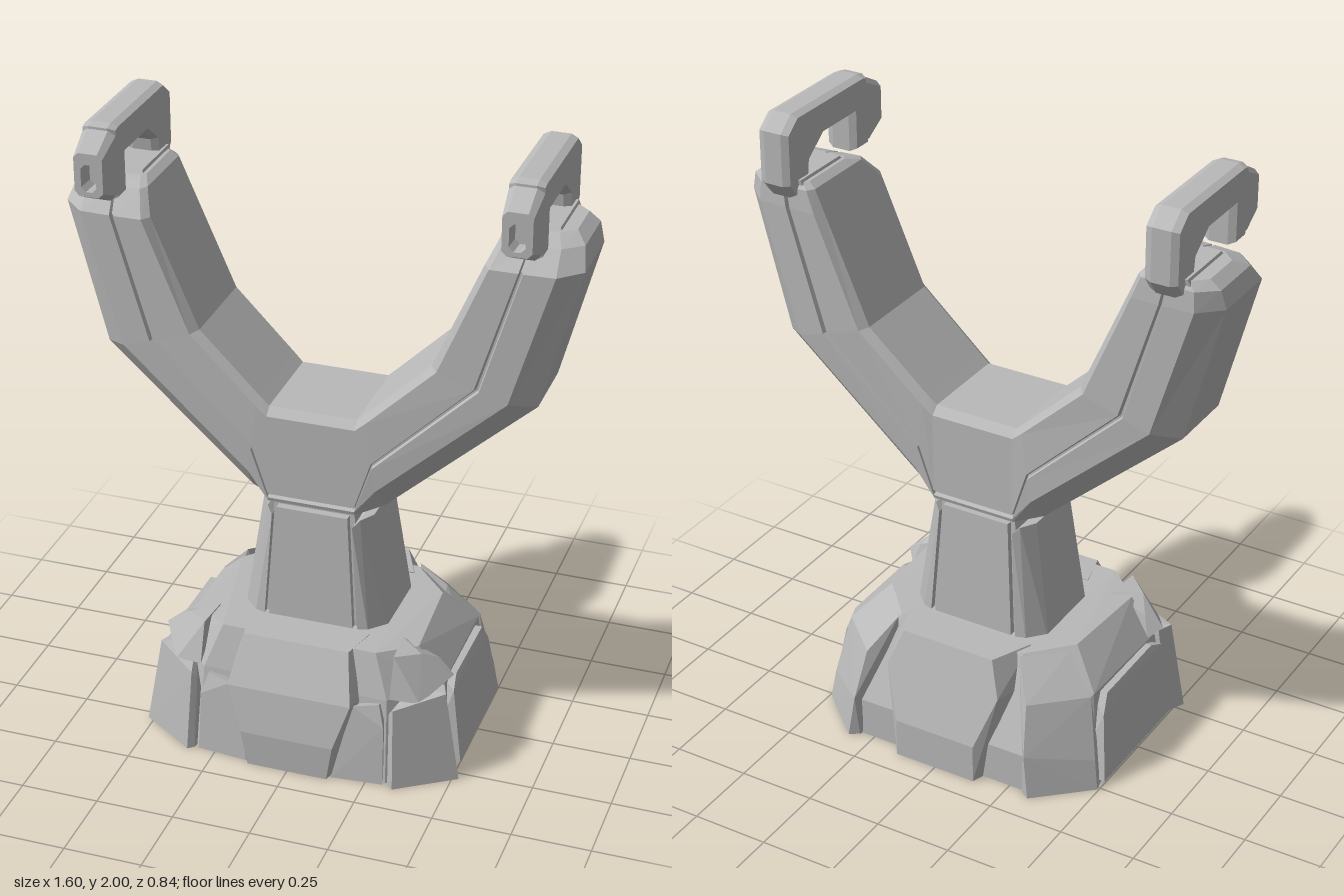
import * as THREE from 'three';
import { ConvexGeometry } from 'three/addons/geometries/ConvexGeometry.js';

const grey = new THREE.MeshStandardMaterial({ color: 0xb9b9b9 });
grey.name = 'stoneGrey';

function add(parent, name, geometry) {
  const mesh = new THREE.Mesh(geometry, grey);
  mesh.name = name;
  parent.add(mesh);
  return mesh;
}

const V = (p) => new THREE.Vector3(...p);

// Faceted convex block from its corners, with optional mirroring in x
function block(points, mirror = false) {
  const all = mirror ? points.flatMap(([x, y, z]) => [[x, y, z], [-x, y, z]]) : points;
  return new ConvexGeometry(all.map(V));
}

// A left block and its mirrored twin
function pair(parent, name, points) {
  add(parent, name + 'Left', block(points));
  add(parent, name + 'Right', block(points.map(([x, y, z]) => [-x, y, z])));
}

// Flat-faced skin through equal-length rings, capped at both ends, facing outwards
function loft(rings) {
  const tris = [];
  const n = rings[0].length;
  for (let i = 0; i < rings.length - 1; i++) {
    for (let j = 0; j < n; j++) {
      const k = (j + 1) % n;
      const [a, b, c, d] = [rings[i][j], rings[i][k], rings[i + 1][k], rings[i + 1][j]];
      tris.push([a, b, c], [a, c, d]);
    }
  }
  const cap = (ring, flip) => {
    const mid = [0, 1, 2].map((q) => ring.reduce((s, p) => s + p[q], 0) / n);
    ring.forEach((p, j) => {
      const next = ring[(j + 1) % n];
      tris.push(flip ? [mid, next, p] : [mid, p, next]);
    });
  };
  cap(rings[0], true);
  cap(rings[rings.length - 1], false);
  const volume = tris.reduce((s, [a, b, c]) => s + V(a).dot(V(b).cross(V(c))), 0);
  const ordered = volume < 0 ? tris.map(([a, b, c]) => [a, c, b]) : tris;
  const g = new THREE.BufferGeometry();
  g.setAttribute('position', new THREE.Float32BufferAttribute(ordered.flat(2), 3));
  g.computeVertexNormals();
  return g;
}

function makeBase() {
  const base = new THREE.Group();
  base.name = 'base';
  add(base, 'baseCore', block([
    [0.31, 0, 0.375], [0.47, 0, 0.24], [0.47, 0, -0.23], [0.3, 0, -0.38],
    [0.3, 0.13, -0.38], [0.3, 0.28, 0.335], [0.445, 0.3, 0.2], [0.44, 0.3, -0.19],
    [0.25, 0.42, 0.295], [0.36, 0.41, 0.2], [0.34, 0.41, -0.12], [0.22, 0.41, -0.25],
  ], true));
  add(base, 'frontPanel', block([
    [0.13, 0, 0.415], [0.15, 0.12, 0.42], [0.2, 0.27, 0.395], [0.17, 0.42, 0.32],
    [0.16, 0, 0.3], [0.22, 0.26, 0.3], [0.2, 0.42, 0.2],
  ], true));
  add(base, 'backPanel', block([
    [0.14, 0, -0.42], [0.14, 0.13, -0.42], [0.2, 0.3, -0.37], [0.16, 0.415, -0.335],
    [0.18, 0, -0.3], [0.22, 0.3, -0.3], [0.22, 0.415, -0.2],
  ], true));
  // Corner stones and side slabs
  pair(base, 'frontCorner', [
    [0.32, 0, 0.385], [0.34, 0, 0.4], [0.52, 0, 0.28], [0.49, 0, 0.22],
    [0.315, 0.25, 0.36], [0.33, 0.27, 0.37], [0.47, 0.3, 0.27], [0.45, 0.3, 0.22],
    [0.3, 0, 0.25], [0.36, 0.3, 0.25],
  ]);
  pair(base, 'frontShoulder', [
    [0.31, 0.29, 0.34], [0.4, 0.28, 0.32], [0.475, 0.33, 0.2], [0.44, 0.3, 0.16],
    [0.31, 0.42, 0.3], [0.38, 0.41, 0.24], [0.42, 0.37, 0.18], [0.3, 0.42, 0.18],
  ]);
  pair(base, 'frontCheek', [
    [0.14, 0, 0.4], [0.305, 0, 0.385], [0.3, 0.2, 0.37], [0.2, 0.26, 0.37],
    [0.28, 0.27, 0.35], [0.14, 0, 0.3], [0.28, 0.25, 0.25],
  ]);
  pair(base, 'sideSlab', [
    [0.505, 0.015, 0.21], [0.505, 0.015, -0.23], [0.495, 0.07, -0.22], [0.475, 0.27, 0.2],
    [0.465, 0.295, 0.14], [0.465, 0.29, -0.15], [0.475, 0.23, -0.19],
    [0.4, 0.015, 0.21], [0.4, 0.015, -0.23], [0.4, 0.295, 0.14], [0.4, 0.29, -0.15],
  ]);
  pair(base, 'backCorner', [
    [0.3, 0, -0.39], [0.33, 0, -0.41], [0.495, 0, -0.26], [0.48, 0, -0.2],
    [0.31, 0.14, -0.4], [0.48, 0.1, -0.25], [0.29, 0.3, -0.35], [0.44, 0.3, -0.21],
    [0.22, 0.41, -0.27], [0.34, 0.41, -0.17], [0.25, 0, -0.25],
  ]);
  return base;
}

function makePillar() {
  const pillar = new THREE.Group();
  pillar.name = 'pillar';
  add(pillar, 'pillarCore', block([
    [0.16, 0.38, 0.165], [0.16, 0.38, -0.165], [0.13, 0.81, 0.145], [0.13, 0.81, -0.145],
  ], true));
  add(pillar, 'pillarMiddle', block([
    [0.14, 0.38, 0.185], [0.14, 0.38, -0.185], [0.115, 0.8, 0.17], [0.115, 0.8, -0.165],
  ], true));
  // Bevelled flank on each side
  pair(pillar, 'pillarFlank', [
    [0.155, 0.38, 0.185], [0.19, 0.38, 0.175], [0.24, 0.38, 0.12], [0.24, 0.38, -0.12],
    [0.19, 0.38, -0.175], [0.155, 0.38, -0.185], [0.13, 0.77, 0.17], [0.15, 0.79, 0.15],
    [0.18, 0.79, 0.1], [0.18, 0.79, -0.1], [0.15, 0.79, -0.15], [0.13, 0.77, -0.165],
  ]);
  return pillar;
}

// Y-shaped fork: one section swept from tip to tip, with a groove along both faces
function makeFork() {
  const stations = [
    // inner edge, outer edge, groove position, front z, back z
    { i: [0.14, 1.14], o: [0.14, 0.795], g: 0.86, f: 0.18, b: -0.18 },
    { i: [0.17, 1.168], o: [0.215, 0.835], g: 0.5, f: 0.18, b: -0.185 },
    { i: [0.365, 1.355], o: [0.68, 1.25], g: 0.46, f: 0.17, b: -0.2 },
    { i: [0.515, 1.7], o: [0.8, 1.7], g: 0.4, f: 0.165, b: -0.2 },
    { i: [0.545, 1.77], o: [0.785, 1.76], g: 0.4, f: 0.1, b: -0.195 },
    { i: [0.57, 1.787], o: [0.75, 1.787], g: 0.4, f: 0.04, b: -0.18 },
  ];
  const section = ({ i, o, g, f, b }, side) => {
    const outerFlat = Math.max(g + 0.06, 0.76);
    const half = [[0, 0.85], [0.07, 1], [g - 0.025, 1], [g - 0.01, 0.93], [g + 0.01, 0.93],
      [g + 0.025, 1], [outerFlat, 0.98], [1, 0.62]];
    const mid = (f + b) / 2;
    const depth = (f - b) / 2;
    const at = (t, s) => [side * (i[0] + (o[0] - i[0]) * t), i[1] + (o[1] - i[1]) * t, mid + depth * s];
    return [...half.map(([t, s]) => at(t, s)), ...half.slice().reverse().map(([t, s]) => at(t, -s))];
  };
  return loft([
    ...stations.slice().reverse().map((s) => section(s, -1)),
    ...stations.map((s) => section(s, 1)),
  ]);
}

// Hook on an arm tip: bevelled C profile in z and y, with a hollow front end
function makeHook(name, x) {
  const hook = new THREE.Group();
  hook.name = name;
  const profile = [[0.19, 1.775], [0.19, 1.985], [0.17, 1.99], [-0.18, 1.99], [-0.23, 1.95],
    [-0.23, 1.79], [-0.2, 1.75], [-0.14, 1.77], [-0.13, 1.84], [-0.05, 1.9], [0.13, 1.9], [0.13, 1.775]];
  const shape = new THREE.Shape(profile.map(([z, y]) => new THREE.Vector2(-z, y)));
  const body = new THREE.ExtrudeGeometry(shape, {
    depth: 0.06, bevelEnabled: true, bevelThickness: 0.022, bevelSize: 0.01, bevelSegments: 1,
  });
  body.translate(0, 0, -0.03);
  body.rotateY(Math.PI / 2);
  add(hook, 'hookBody', body);
  // Chamfered rectangle in x and y
  const ring = (z, w, low, high, c) => [
    [w - c, low, z], [w, low + c, z], [w, high - c, z], [w - c, high, z],
    [c - w, high, z], [-w, high - c, z], [-w, low + c, z], [c - w, low, z],
  ];
  add(hook, 'hookTip', loft([
    ring(0.17, 0.052, 1.765, 2, 0.02),
    ring(0.2, 0.052, 1.765, 1.985, 0.02),
    ring(0.28, 0.045, 1.805, 1.94, 0.015),
    ring(0.28, 0.024, 1.82, 1.905, 0.014),
    ring(0.22, 0.022, 1.82, 1.905, 0.014),
  ]));
  // Foot pad where the hook meets the arm
  add(hook, 'hookFoot', block([
    [0.085, 1.74, 0.06], [0.085, 1.74, -0.18], [0.06, 1.795, 0.02], [0.06, 1.795, -0.19],
  ], true));
  hook.position.x = x;
  return hook;
}

export function createModel() {
  const model = new THREE.Group();
  model.name = 'forkedStand';
  model.add(makeBase(), makePillar());
  add(model, 'fork', makeFork());
  model.add(makeHook('leftHook', 0.645), makeHook('rightHook', -0.645));
  return model;
}
